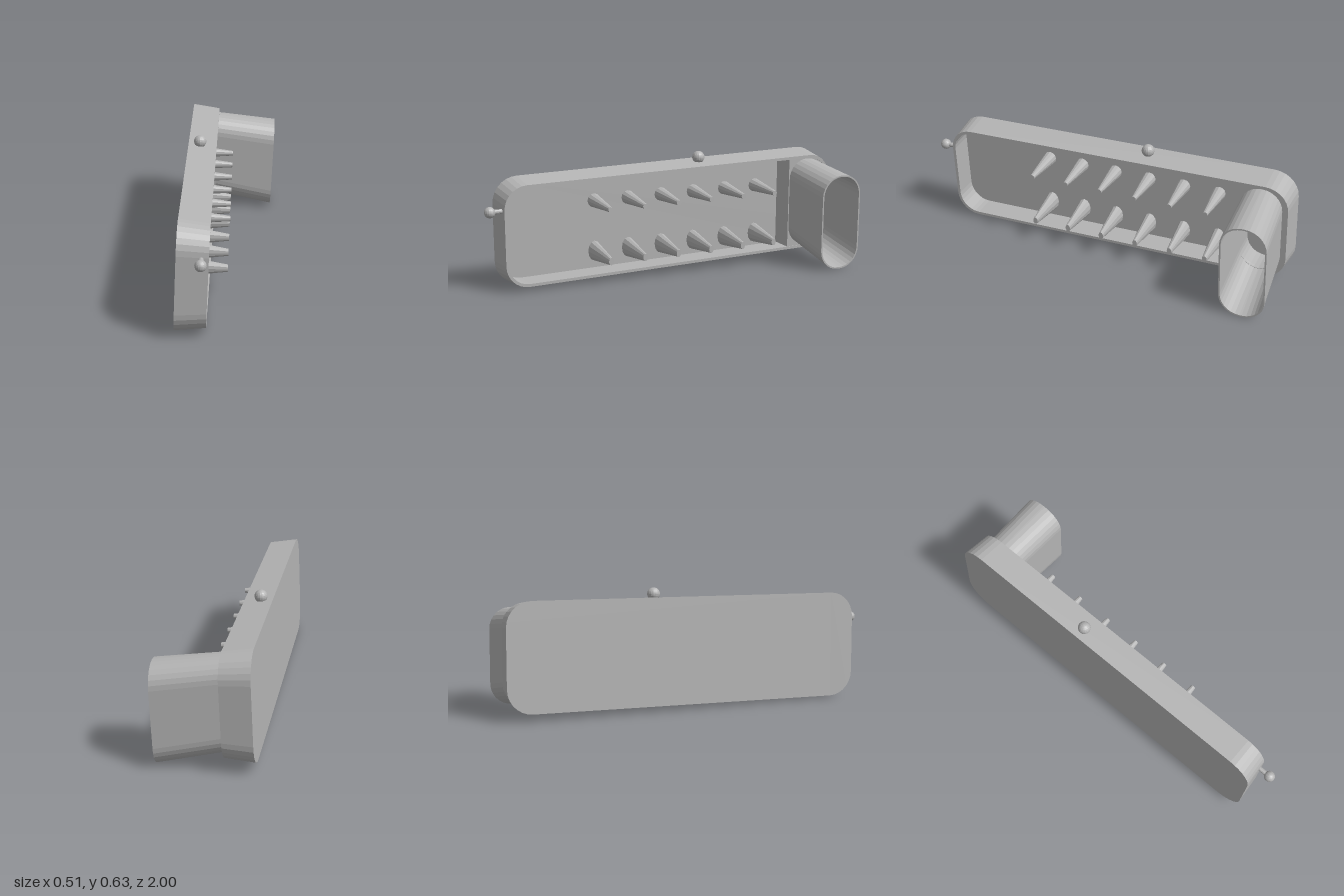
import * as THREE from 'three';

const grey = new THREE.MeshStandardMaterial({ color: 0xb4b4b4, flatShading: true });
grey.name = 'plain grey';

// Rounded rectangle around (h, l): local y is height, local z is length
function outline(halfH, halfL, r, h = 0, l = 0, steps = 7) {
  const pts = [];
  [[1, 1], [-1, 1], [-1, -1], [1, -1]].forEach(([sy, sz], q) => {
    for (let i = 0; i <= steps; i++) {
      const a = (q + i / steps) * Math.PI / 2;
      pts.push([h + sy * (halfH - r) + r * Math.cos(a), l + sz * (halfL - r) + r * Math.sin(a)]);
    }
  });
  return pts;
}

// Skin a series of outlines, each placed at a depth along local x
function loft(rings, capped) {
  const pos = [], index = [], n = rings[0].pts.length;
  rings.forEach(({ d, pts }) => pts.forEach(([y, z]) => pos.push(d, y, z)));
  for (let k = 0; k < rings.length - 1; k++) {
    for (let i = 0; i < n; i++) {
      const j = (i + 1) % n, a = k * n, b = a + n;
      index.push(a + i, a + j, b + j, a + i, b + j, b + i);
    }
  }
  if (capped) {
    const e = (rings.length - 1) * n;
    for (let i = 1; i < n - 1; i++) index.push(0, i + 1, i, e, e + i, e + i + 1);
  }
  const g = new THREE.BufferGeometry();
  g.setAttribute('position', new THREE.Float32BufferAttribute(pos, 3));
  g.setIndex(index);
  const flat = g.toNonIndexed();
  flat.computeVertexNormals();
  return flat;
}

export function createModel() {
  const model = new THREE.Group();
  model.name = 'pegTray';
  const body = new THREE.Group();
  body.name = 'tiltedBody';
  model.add(body);

  const add = (name, geometry, x = 0, y = 0, z = 0) => {
    const m = new THREE.Mesh(geometry, grey);
    m.name = name;
    m.position.set(x, y, z);
    body.add(m);
    return m;
  };

  // Open tray with drafted walls and a closed back
  add('tray', loft([
    { d: 0, pts: outline(0.28, 0.954, 0.13) },
    { d: 0.15, pts: outline(0.262, 0.942, 0.12) },
    { d: 0.15, pts: outline(0.247, 0.927, 0.106) },
    { d: 0.02, pts: outline(0.25, 0.93, 0.106) },
  ], true));

  // Filled end of the tray, with the spout opening through it
  const end = new THREE.Shape();
  end.moveTo(0.69, -0.25);
  end.lineTo(0.825, -0.25);
  end.absarc(0.825, -0.14, 0.11, -Math.PI / 2, 0, false);
  end.lineTo(0.935, 0.14);
  end.absarc(0.825, 0.14, 0.11, 0, Math.PI / 2, false);
  end.lineTo(0.69, 0.25);
  end.closePath();
  end.holes.push(new THREE.Path(
    outline(0.232, 0.1, 0.098, 0.004, 0.803).map(([h, l]) => new THREE.Vector2(l, h))));
  const block = new THREE.ExtrudeGeometry(end, { depth: 0.135, bevelEnabled: false, curveSegments: 7 });
  block.rotateY(Math.PI / 2);
  add('endBlock', block, 0.012);

  // Hollow spout, flaring and dropping slightly towards its mouth
  add('spout', loft([
    { d: 0.13, pts: outline(0.241, 0.108, 0.106, 0.005, -0.803) },
    { d: 0.474, pts: outline(0.257, 0.118, 0.112, -0.043, -0.815) },
    { d: 0.474, pts: outline(0.249, 0.11, 0.104, -0.043, -0.815) },
    { d: 0.13, pts: outline(0.232, 0.1, 0.098, 0.005, -0.803) },
  ], false));

  // Two rows of tapered pegs, the lower row taller in section
  [['upperPeg', 0.105, 0.037], ['lowerPeg', -0.167, 0.055]].forEach(([name, h, ry]) => {
    for (let i = 0; i < 6; i++) {
      const l = 0.416 - i * 0.192;
      const g = new THREE.CylinderGeometry(0.013, 0.036, 0.225, 12);
      g.rotateZ(-Math.PI / 2);
      g.scale(1, ry / 0.036, 1);
      add(name, g, 0.1275, h + 0.018 * l, l);
    }
  });

  // Round knobs on the top wall and on the front end
  add('topKnob', new THREE.SphereGeometry(0.033, 16, 12), 0.061, 0.294, -0.172);
  add('frontKnob', new THREE.SphereGeometry(0.028, 16, 12), 0.115, 0.136, 1.006);
  const stem = new THREE.CylinderGeometry(0.012, 0.012, 0.07, 12);
  stem.rotateX(Math.PI / 2);
  add('frontKnobStem', stem, 0.115, 0.136, 0.965);

  // Lean the whole body: length runs mostly along z, depth along x
  const L = new THREE.Vector3(0.12, -0.018, 0.9926).normalize();
  const D = new THREE.Vector3(0.042, 0.999, 0.013).cross(L).normalize();
  const H = new THREE.Vector3().crossVectors(L, D);
  body.quaternion.setFromRotationMatrix(new THREE.Matrix4().makeBasis(D, H, L));
  body.position.set(-0.136, 0.307, -0.016);
  return model;
}
